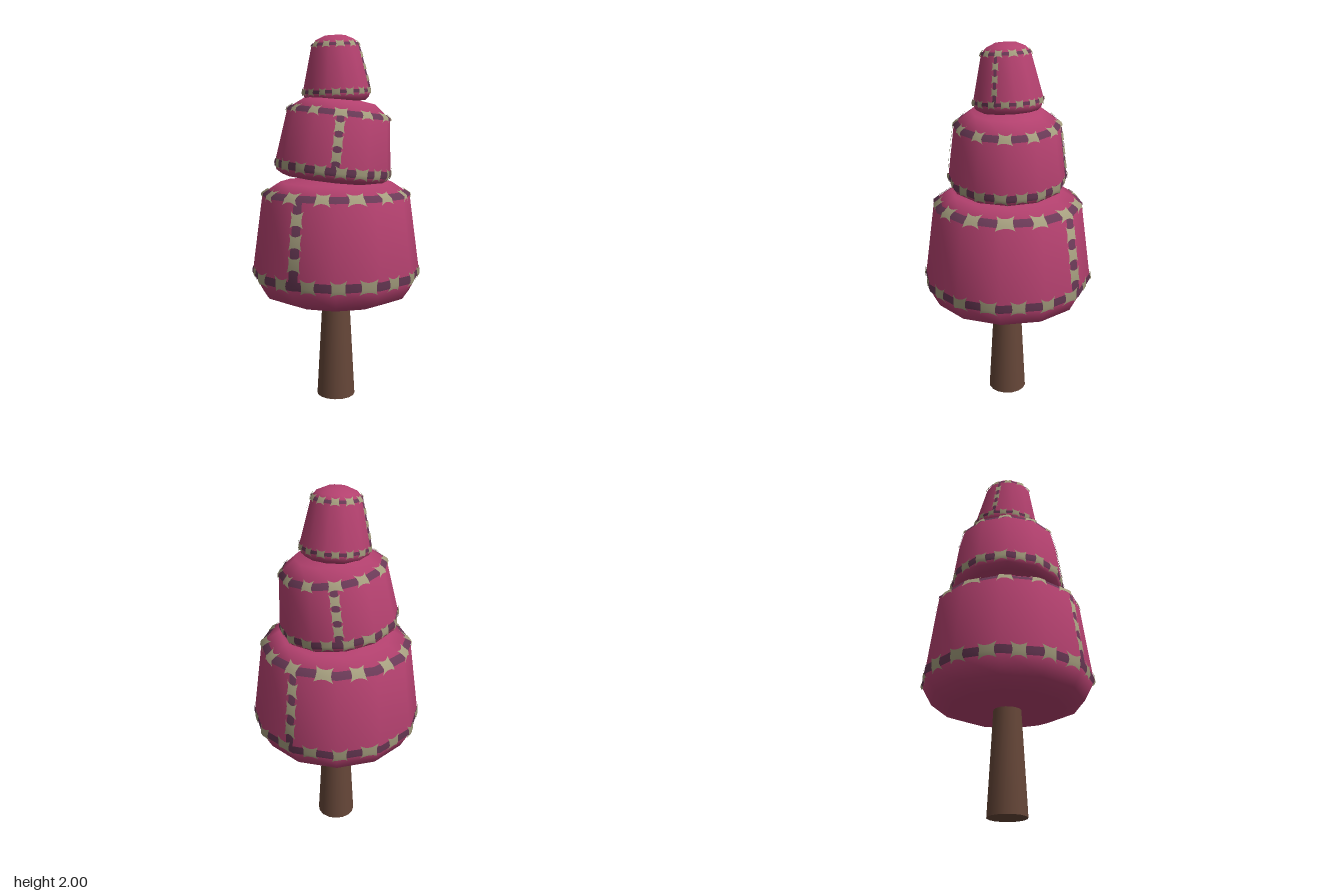
import * as THREE from 'three';
import { mergeGeometries } from 'three/addons/utils/BufferGeometryUtils.js';

const SIDES = 12, STEP = (Math.PI * 2) / SIDES, deg = Math.PI / 180;

const material = (name, color) => {
  const m = new THREE.MeshStandardMaterial({ color });
  m.name = name;
  return m;
};

const mesh = (name, geometry, mat) => {
  const m = new THREE.Mesh(geometry, mat);
  m.name = name;
  return m;
};

// Surface of a twelve-sided turned body: point and smooth normal at (angle, length along profile)
function surface(profile, phase) {
  const pts = profile.map(([r, y]) => new THREE.Vector2(r, y));
  const lengths = [0];
  for (let i = 1; i < pts.length; i++) lengths.push(lengths[i - 1] + pts[i].distanceTo(pts[i - 1]));
  const edgeNormal = (i) => {
    const k = THREE.MathUtils.clamp(i, 0, pts.length - 2);
    const d = pts[k + 1].clone().sub(pts[k]).normalize();
    return new THREE.Vector2(d.y, -d.x);
  };
  const normals = pts.map((_, i) => edgeNormal(i - 1).add(edgeNormal(i)).normalize());
  const at = (phi, s, lift) => {
    let i = 0;
    while (i < pts.length - 2 && s > lengths[i + 1]) i++;
    const t = (s - lengths[i]) / (lengths[i + 1] - lengths[i]);
    const p = pts[i].clone().lerp(pts[i + 1], t);
    const n = normals[i].clone().lerp(normals[i + 1], t).normalize();
    const local = THREE.MathUtils.euclideanModulo(phi - phase, STEP) - STEP / 2;
    const r = p.x * Math.cos(STEP / 2) / Math.cos(local) + n.x * lift;
    return {
      point: [Math.sin(phi) * r, p.y + n.y * lift, Math.cos(phi) * r],
      normal: [Math.sin(phi) * n.x, n.y, Math.cos(phi) * n.x],
      radius: p.x,
    };
  };
  return { pts, lengths, at };
}

// Thin patch laid on the surface; pinch > 0 gives it a bone-like stitch outline
function patch(surf, phi, s, halfAngle, halfLength, [nu, nv], lift, pinch = 0) {
  const g = new THREE.PlaneGeometry(2, 2, nu, nv);
  const pos = g.attributes.position, nor = g.attributes.normal;
  for (let i = 0; i < pos.count; i++) {
    const a = pos.getX(i), b = pos.getY(i);
    const u = phi + halfAngle * a * (1 - pinch * 0.6 * (1 - b * b));
    const v = s + halfLength * b * (1 - pinch * (1 - a * a));
    const q = surf.at(u, v, lift);
    pos.setXYZ(i, ...q.point);
    nor.setXYZ(i, ...q.normal);
  }
  return g;
}

function makeTier(spec, mats) {
  const { name, profile, phase, seamWidth, stitch, rings, verticals, verticalStitches } = spec;
  const group = new THREE.Group();
  group.name = name;
  const surf = surface(profile, phase * deg);
  group.add(mesh(name + 'Body', new THREE.LatheGeometry(surf.pts, SIDES, phase * deg, Math.PI * 2), mats.foliage));

  const seams = [], stitches = [];
  const addStitch = (phi, s, scale = 1) => {
    const r = surf.at(phi, s, 0).radius;
    stitches.push(patch(surf, phi, s, stitch * scale / r, stitch, [10, 8], 0.008, 0.38));
  };
  // Seams running around the lower and upper edges
  const levels = rings.map(({ index, shift, count, start }) => {
    const s = surf.lengths[index] + shift;
    seams.push(patch(surf, phase * deg + Math.PI, s, Math.PI, seamWidth, [72, 4], 0.004));
    for (let i = 0; i < count; i++) addStitch(start * deg + i * Math.PI * 2 / count, s, i % 3 ? 1 : 1.15);
    return s;
  });
  // Upright seams joining the two edges
  const [low, high] = levels;
  for (const angle of verticals) {
    const phi = angle * deg, mid = (low + high) / 2;
    seams.push(patch(surf, phi, mid, seamWidth / surf.at(phi, mid, 0).radius, (high - low) / 2, [4, 12], 0.0045));
    for (let i = 1; i <= verticalStitches; i++) {
      addStitch(phi, low + (high - low) * i / (verticalStitches + 1), 0.85);
    }
  }
  group.add(mesh(name + 'Seams', mergeGeometries(seams), mats.seam));
  group.add(mesh(name + 'Stitches', mergeGeometries(stitches), mats.stitch));
  return group;
}

export function createModel() {
  const mats = {
    foliage: material('foliagePink', 0xb4416f),
    seam: material('seamPurple', 0x6a3a57),
    stitch: material('stitchBeige', 0xa69f7f),
  };
  const bark = material('barkBrown', 0x654638);
  const model = new THREE.Group();
  model.name = 'patchworkTree';

  // Trunk
  const trunk = mesh('trunk', new THREE.CylinderGeometry(0.073, 0.106, 0.6, 16), bark);
  trunk.position.y = 0.3;
  model.add(trunk);

  // Lower tier
  model.add(makeTier({
    name: 'lowerTier', phase: 10, seamWidth: 0.024, stitch: 0.044,
    profile: [[0.001, 0.56], [0.305, 0.562], [0.41, 0.605], [0.465, 0.71], [0.405, 1.15], [0.305, 1.215], [0.001, 1.24]],
    rings: [{ index: 3, shift: 0.008, count: 18, start: 2 }, { index: 4, shift: 0.012, count: 14, start: -4 }],
    verticals: [-48, 127], verticalStitches: 3,
  }, mats));

  // Middle tier, leaning
  const middle = makeTier({
    name: 'middleTier', phase: 15, seamWidth: 0.02, stitch: 0.034,
    profile: [[0.001, -0.2], [0.275, -0.2], [0.308, -0.18], [0.32, -0.145], [0.281, 0.155], [0.19, 0.225], [0.001, 0.25]],
    rings: [{ index: 3, shift: 0.004, count: 18, start: 8 }, { index: 4, shift: 0.008, count: 12, start: -18 }],
    verticals: [-18, 160], verticalStitches: 3,
  }, mats);
  middle.position.set(0, 1.43, 0);
  middle.rotation.set(0.03, 0, -0.105);
  model.add(middle);

  // Top tier with a rounded cap
  const top = makeTier({
    name: 'topTier', phase: 25, seamWidth: 0.009, stitch: 0.022,
    profile: [[0.001, -0.165], [0.16, -0.163], [0.178, -0.145], [0.188, -0.115], [0.13, 0.128], [0.105, 0.158], [0.055, 0.18], [0.001, 0.183]],
    rings: [{ index: 3, shift: 0.005, count: 16, start: 2 }, { index: 4, shift: 0.005, count: 11, start: -8 }],
    verticals: [52, 232], verticalStitches: 3,
  }, mats);
  top.position.set(0, 1.817, 0);
  top.rotation.set(0.04, 0, 0.05);
  model.add(top);

  return model;
}
